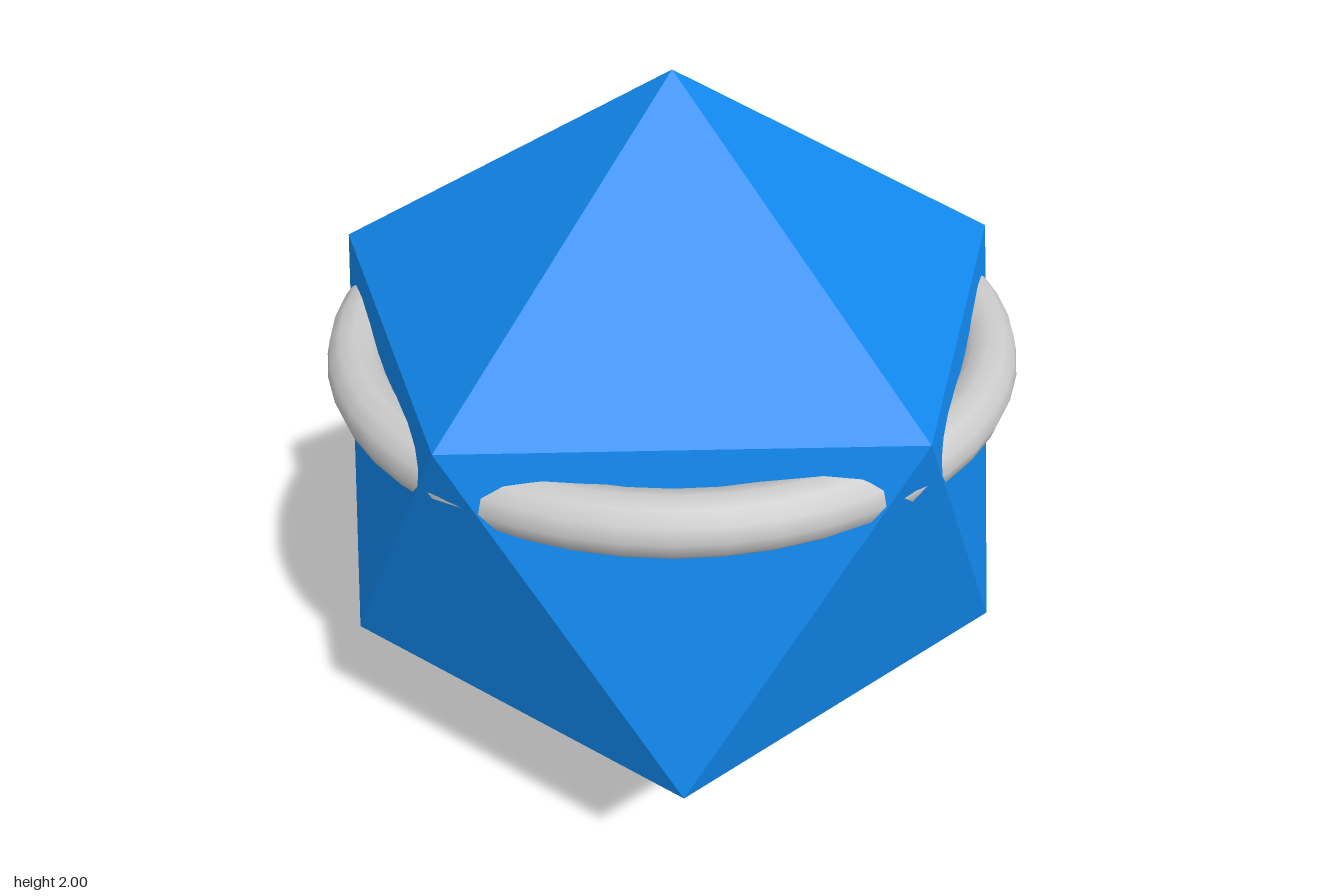
import * as THREE from 'three';
import { ConvexGeometry } from 'three/addons/geometries/ConvexGeometry.js';

export function createModel() {
  const group = new THREE.Group();
  group.name = 'ringedIcosahedron';

  // Icosahedron standing on one tip: two poles and two staggered rings of five corners
  const rise = 1 / Math.sqrt(5), reach = 2 / Math.sqrt(5);
  const corners = [new THREE.Vector3(0, 1, 0), new THREE.Vector3(0, -1, 0)];
  for (let i = 0; i < 5; i++) {
    const a = (i * Math.PI * 2) / 5;
    const upper = new THREE.Vector3(reach * Math.cos(a), rise, reach * Math.sin(a));
    corners.push(upper, upper.clone().negate());
  }
  const body = new THREE.Mesh(
    new ConvexGeometry(corners),
    new THREE.MeshStandardMaterial({ color: 0x1188ee, flatShading: true })
  );
  body.name = 'icosahedronBody';
  body.position.y = 1;
  group.add(body);

  // Smooth horizontal ring, bulging out through the upper faces
  const ring = new THREE.Mesh(
    new THREE.TorusGeometry(0.795, 0.075, 12, 48),
    new THREE.MeshStandardMaterial({ color: 0xcccccc })
  );
  ring.name = 'ringBand';
  ring.rotation.x = Math.PI / 2;
  ring.position.y = 1.307;
  group.add(ring);

  return group;
}
